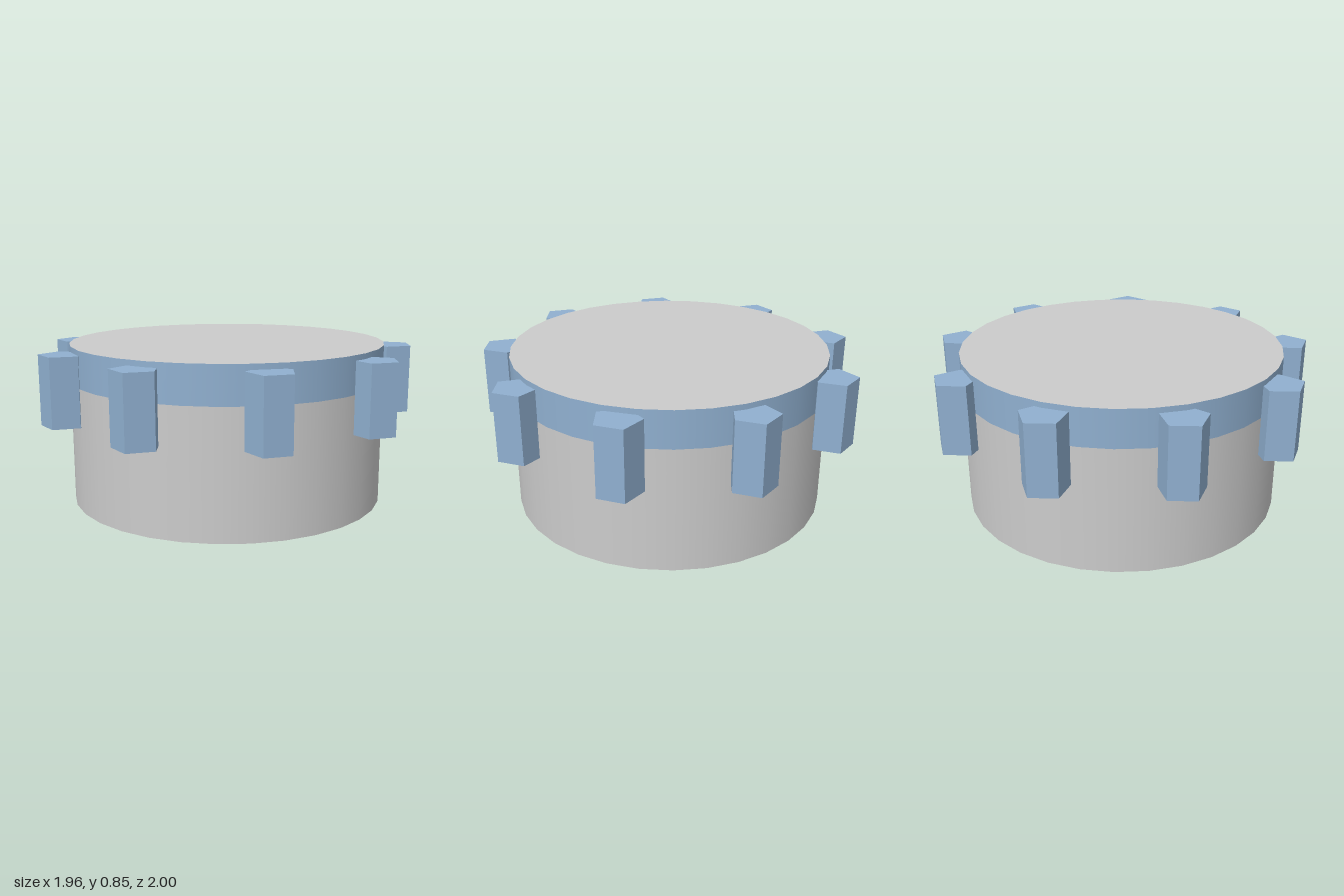
import * as THREE from 'three';

const CX = -0.039;        // drum axis, offset so the whole is centred
const R = 0.843;          // drum radius
const TOP = 0.846, BAND = 0.652;
const PEGS = 9;

export function createModel() {
  const model = new THREE.Group();
  model.name = 'studdedDrum';
  const grey = new THREE.MeshStandardMaterial({ color: 0xcccccc });
  const blue = new THREE.MeshStandardMaterial({ color: 0x90b0d0 });
  const blueFlat = new THREE.MeshStandardMaterial({ color: 0x90b0d0, flatShading: true });

  const add = (name, geometry, material, x, y, z) => {
    const mesh = new THREE.Mesh(geometry, material);
    mesh.name = name;
    mesh.position.set(x, y, z);
    model.add(mesh);
    return mesh;
  };

  // Drum wall, open at both ends, with the blue band above it
  add('drumWall', new THREE.CylinderGeometry(R, R, BAND, 32, 1, true), grey, CX, BAND / 2, 0);
  add('rimBand', new THREE.CylinderGeometry(R, R, TOP - BAND, 32, 1, true), blue, CX, (TOP + BAND) / 2, 0);

  // Flat discs closing the drum
  const disc = new THREE.CircleGeometry(R, 32);
  add('topDisc', disc, grey, CX, TOP, 0).rotation.x = -Math.PI / 2;
  add('bottomDisc', disc, grey, CX, 0, 0).rotation.x = Math.PI / 2;

  // Five-sided pegs around the rim, every one with a corner towards +x
  const peg = new THREE.CylinderGeometry(0.12, 0.12, 0.364, 5, 1, false, Math.PI / 2);
  for (let i = 0; i < PEGS; i++) {
    const a = (i / PEGS) * Math.PI * 2;
    add('peg' + (i + 1), peg, blueFlat, CX + 0.9 * Math.cos(a), 0.636, 0.9 * Math.sin(a));
  }
  return model;
}
